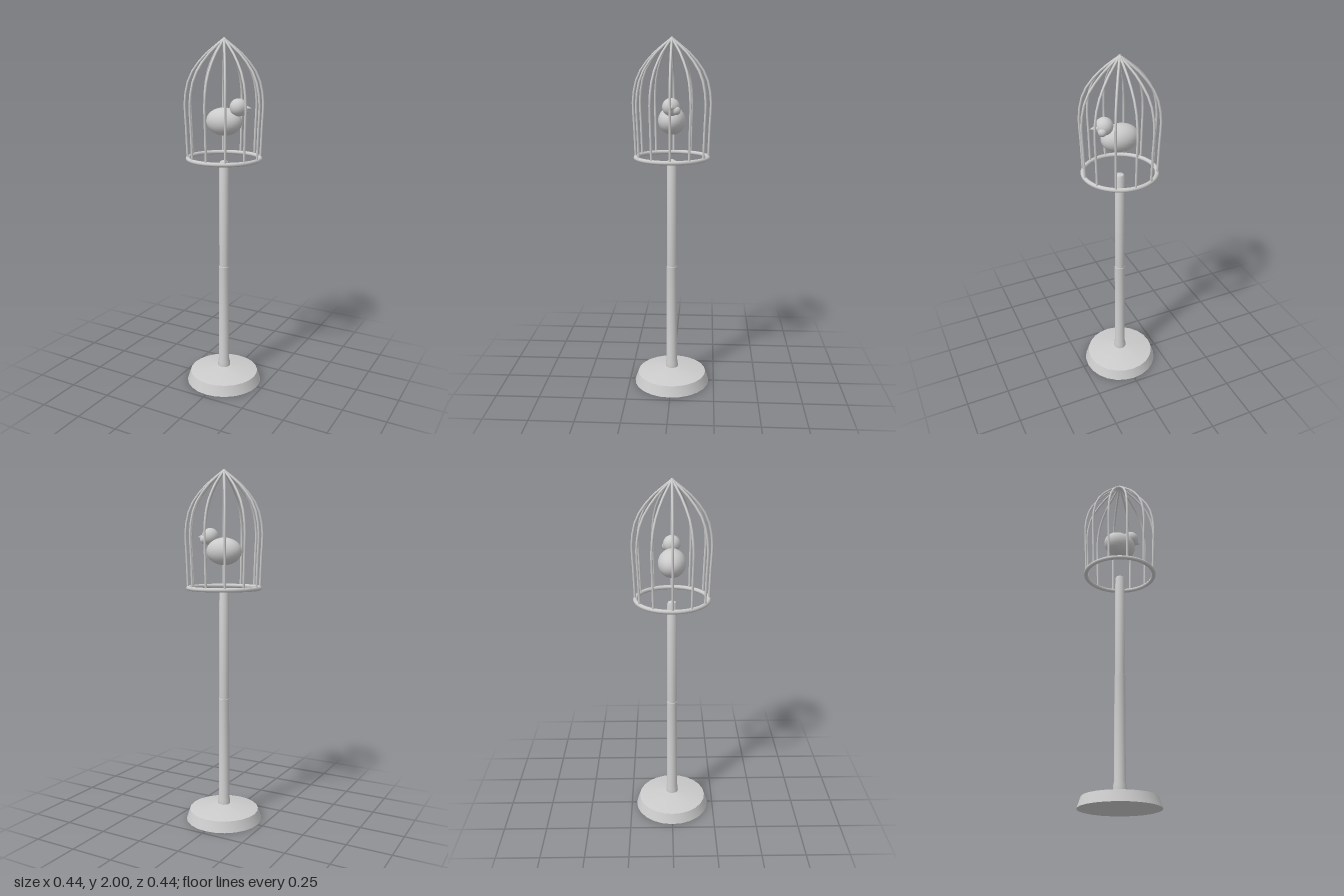
import * as THREE from 'three';
import { toCreasedNormals } from 'three/addons/utils/BufferGeometryUtils.js';

const material = new THREE.MeshStandardMaterial({ color: 0xcccccc });

function add(parent, name, geometry, x = 0, y = 0, z = 0) {
  const mesh = new THREE.Mesh(geometry, material);
  mesh.name = name;
  mesh.position.set(x, y, z);
  parent.add(mesh);
  return mesh;
}

const lathe = (points, segments) => toCreasedNormals(
  new THREE.LatheGeometry(points.map(([r, y]) => new THREE.Vector2(r, y)), segments), 0.6);

export function createModel() {
  const model = new THREE.Group();
  model.name = 'birdcageOnStand';

  // Weighted foot with a sloping top
  add(model, 'base', lathe([[0, 0], [0.22, 0], [0.2, 0.06], [0.036, 0.092], [0, 0.092]], 24));

  // Slim pole, slightly tapered, with a collar at the foot and a pointed top
  add(model, 'pole', lathe([
    [0.036, 0.09], [0.035, 0.12], [0.031, 0.135], [0.03, 0.72],
    [0.028, 0.722], [0.027, 1.325], [0.022, 1.337], [0, 1.345],
  ], 16));

  // Cage: bottom ring and twelve bars meeting at the peak
  const cage = new THREE.Group();
  cage.name = 'cage';
  model.add(cage);
  add(cage, 'cageRing', new THREE.TorusGeometry(0.2, 0.012, 10, 48), 0, 1.354, 0).rotation.x = Math.PI / 2;

  const barCurve = new THREE.CatmullRomCurve3([
    [0.201, 1.354], [0.207, 1.52], [0.211, 1.68], [0.182, 1.8], [0.105, 1.905], [0, 1.992],
  ].map(([r, y]) => new THREE.Vector3(r, y, 0)));
  const barGeometry = new THREE.TubeGeometry(barCurve, 12, 0.0065, 8);
  for (let i = 0; i < 12; i++) {
    add(cage, 'cageBar', barGeometry).rotation.y = i * Math.PI / 6;
  }
  add(cage, 'cagePeak', new THREE.SphereGeometry(0.008, 10, 8), 0, 1.992, 0);

  // Bird facing +x
  const bird = new THREE.Group();
  bird.name = 'bird';
  model.add(bird);
  add(bird, 'birdBody', new THREE.SphereGeometry(1, 24, 16), 0, 1.556, 0).scale.set(0.105, 0.076, 0.076);
  add(bird, 'birdHead', new THREE.SphereGeometry(0.048, 20, 14), 0.088, 1.637, 0);
  add(bird, 'birdBeak', new THREE.ConeGeometry(0.02, 0.045, 12), 0.146, 1.635, 0).rotation.z = -Math.PI / 2;
  add(bird, 'birdEye', new THREE.SphereGeometry(0.024, 14, 10), 0.11, 1.62, -0.029);

  return model;
}
